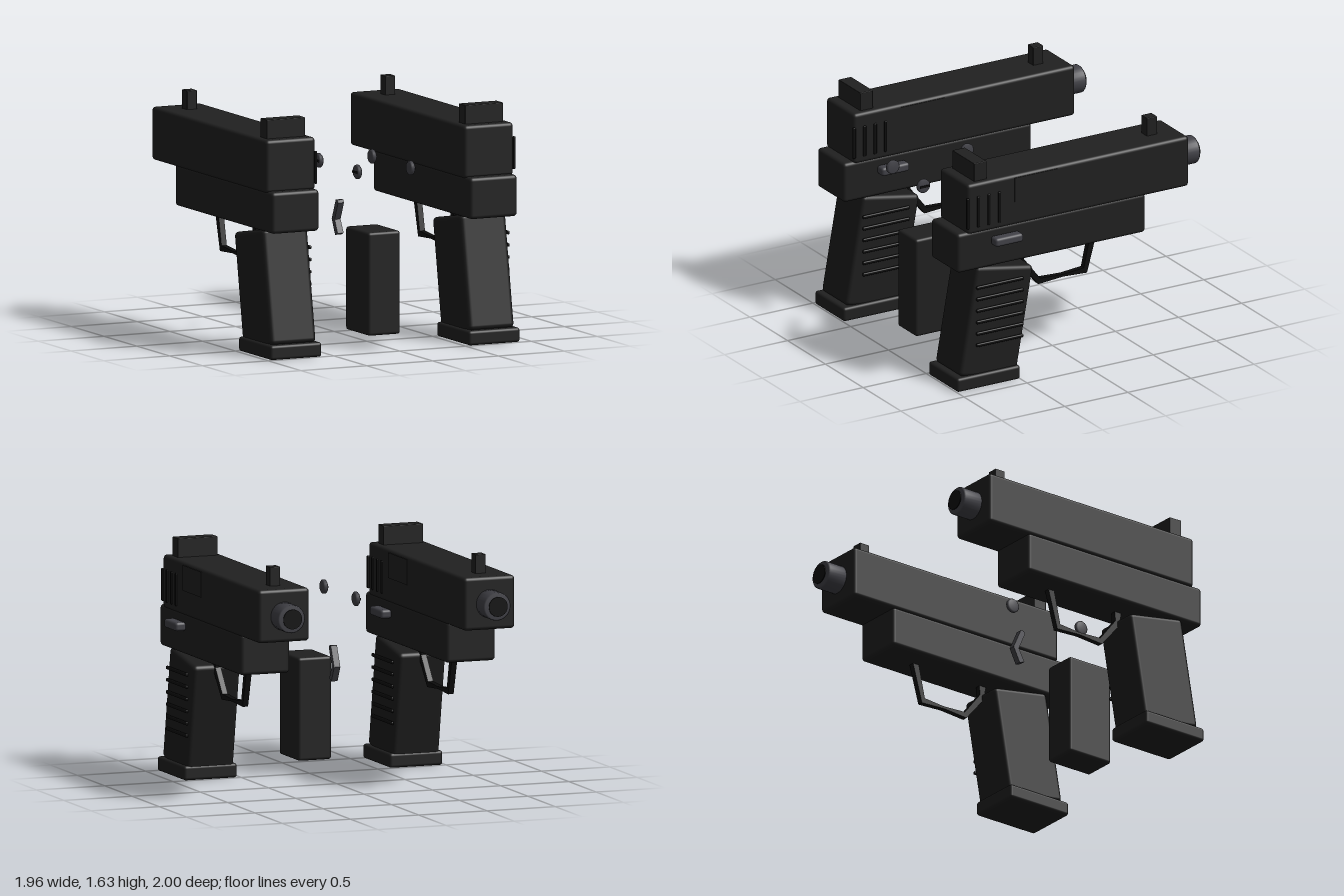
import * as THREE from 'three';
import { RoundedBoxGeometry } from 'three/addons/geometries/RoundedBoxGeometry.js';

const material = (name, color) => Object.assign(new THREE.MeshStandardMaterial({ color }), { name });

export function createModel() {
  const body = material('body black', 0x202020);
  const gripMat = material('grip black', 0x1d1d1d);
  const dark = material('deep black', 0x0c0c0c);
  const steel = material('dark steel', 0x414147);

  const add = (parent, name, geometry, mat, x = 0, y = 0, z = 0) => {
    const mesh = new THREE.Mesh(geometry, mat);
    mesh.name = name;
    mesh.position.set(x, y, z);
    parent.add(mesh);
    return mesh;
  };

  // Rounded box given by its centre x, width and the ranges of y and z
  const block = (parent, name, mat, x, w, y0, y1, z0, z1, r = 0.02) =>
    add(parent, name, new RoundedBoxGeometry(w, y1 - y0, z1 - z0, 3, r), mat, x, (y0 + y1) / 2, (z0 + z1) / 2);

  // Side profile as [z, y] points, extruded across x
  const profile = (parent, name, mat, points, width, x) => {
    const shape = new THREE.Shape(points.map(([z, y]) => new THREE.Vector2(z, y)));
    const geometry = new THREE.ExtrudeGeometry(shape, { depth: width, bevelEnabled: false });
    geometry.translate(0, 0, -width / 2).rotateY(-Math.PI / 2);
    return add(parent, name, geometry, mat, x);
  };

  const buildPistol = (name, x) => {
    const g = new THREE.Group();
    g.name = name;
    g.position.x = x;

    // Upper slide, lower frame, sloping grip and its base
    block(g, 'slide', body, 0, 0.375, 1.135, 1.5, -0.84, 0.915, 0.025);
    block(g, 'frame', body, 0, 0.36, 0.865, 1.15, -0.5, 0.99, 0.025);
    const grip = add(g, 'grip', new RoundedBoxGeometry(0.345, 0.79, 0.455, 3, 0.03), gripMat, 0, 0.45, 0.673);
    grip.rotation.x = -0.175;
    block(g, 'gripBase', body, 0, 0.39, 0, 0.1, 0.5, 1);

    // Sights
    block(g, 'rearSight', body, 0, 0.29, 1.49, 1.63, 0.74, 0.84, 0.004);
    block(g, 'frontSight', body, 0, 0.075, 1.49, 1.63, -0.675, -0.595, 0.004);

    // Barrel with a softened rim, and the dark bore disc
    const rim = [[0, 0], [0.098, 0], [0.098, 0.19], [0.09, 0.2], [0, 0.2]].map(p => new THREE.Vector2(...p));
    add(g, 'barrel', new THREE.LatheGeometry(rim, 32), steel, 0, 1.315, -0.785).rotation.x = -Math.PI / 2;
    add(g, 'bore', new THREE.CylinderGeometry(0.068, 0.068, 0.006, 32), dark, 0, 1.315, -0.997).rotation.x = Math.PI / 2;

    // Side details
    add(g, 'ejectionPort', new THREE.BoxGeometry(0.008, 0.175, 0.345), body, 0.188, 1.392, 0.372);
    for (let i = 0; i < 4; i++)
      block(g, 'slideSerration', dark, 0.187, 0.018, 1.18, 1.405, 0.655 + i * 0.083, 0.677 + i * 0.083, 0.006);
    for (let i = 0; i < 6; i++)
      block(g, 'gripRib', dark, 0.184, 0.02, 0.3 + i * 0.084, 0.324 + i * 0.084, 0.475, 0.845, 0.008);
    block(g, 'lever', steel, 0.215, 0.08, 1.028, 1.09, 0.51, 0.73, 0.02);

    // Trigger guard
    profile(g, 'triggerGuard', dark, [
      [0.42, 0.86], [0.4, 0.76], [0.255, 0.585], [0.06, 0.6], [-0.13, 0.59], [-0.21, 0.88],
      [-0.16, 0.88], [-0.105, 0.63], [0.06, 0.616], [0.24, 0.625], [0.368, 0.79], [0.366, 0.86],
    ], 0.04, 0);
    return g;
  };

  const model = new THREE.Group();
  model.name = 'pistolSet';
  model.add(buildPistol('rightPistol', -0.784), buildPistol('leftPistol', 0.722));

  // Loose parts between the pair
  const mid = -0.033;
  block(model, 'magazine', body, mid, 0.245, 0.09, 0.8, 0.48, 0.835);
  profile(model, 'trigger', steel, [
    [0.17, 0.91], [0.118, 0.79], [0.165, 0.7], [0.125, 0.685], [0.073, 0.79], [0.135, 0.93], [0.16, 0.93],
  ], 0.045, mid);

  // Four round pins with a dark slot on the outer face
  const pin = [[0, -0.016], [0.04, -0.016], [0.049, -0.008], [0.049, 0.008], [0.04, 0.016], [0, 0.016]]
    .map(p => new THREE.Vector2(...p));
  for (const side of [-1, 1]) {
    for (const z of [0.237, 0.825]) {
      const x = mid + side * 0.202;
      add(model, 'pin', new THREE.LatheGeometry(pin, 24), steel, x, 1.225, z).rotation.z = Math.PI / 2;
      add(model, 'pinSlot', new THREE.BoxGeometry(0.008, 0.015, 0.07), dark, x + side * 0.018, 1.225, z);
    }
  }
  return model;
}
